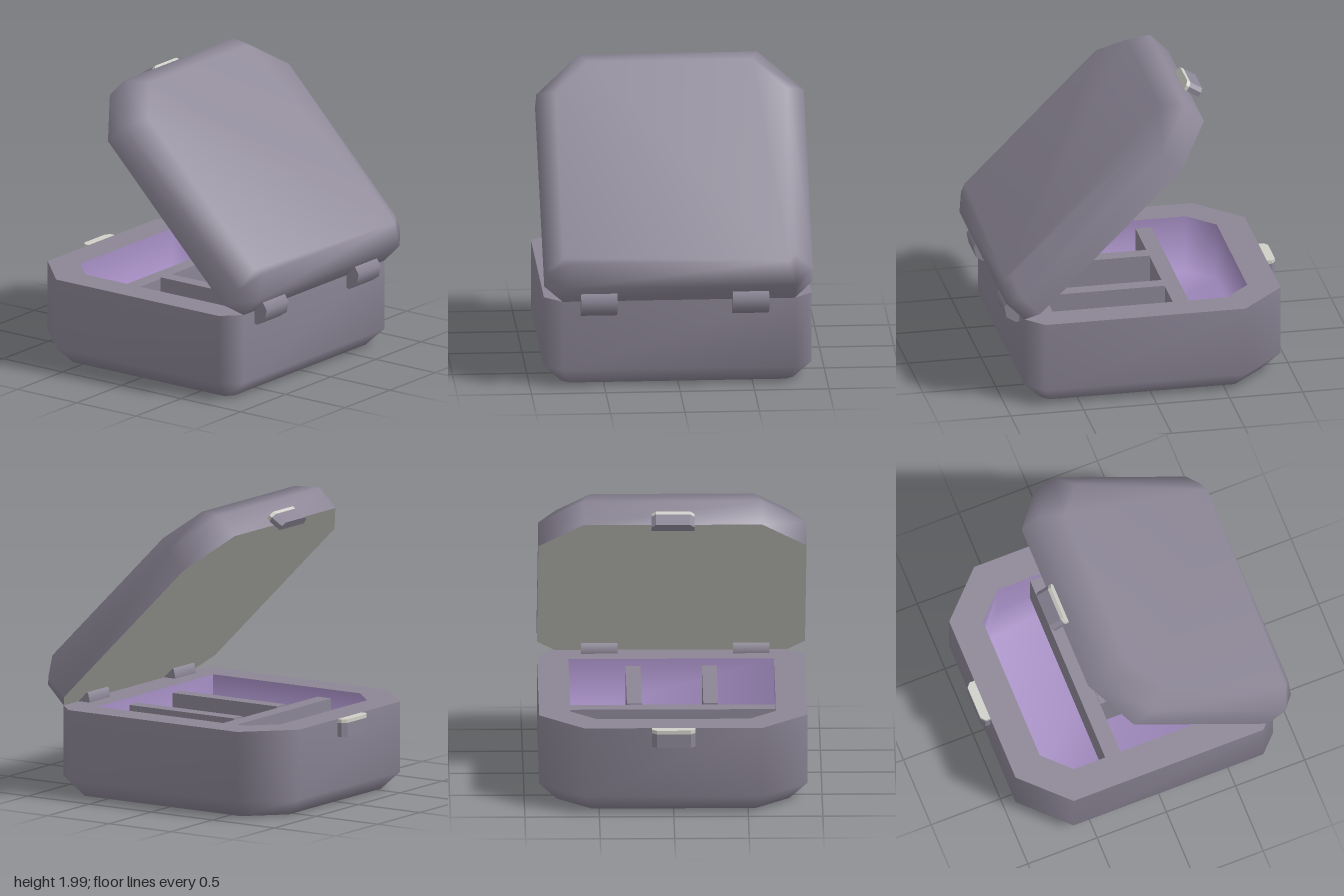
import * as THREE from 'three';

const X0 = -0.93, X1 = 0.86, Z = 0.9, HEIGHT = 0.6, WALL = 0.21, FLOOR = 0.2;

// Plan of the box, offset inward by d: big chamfers at the latch, small ones at the hinge
function outline(d) {
  const a = 0.3 - 0.586 * d, b = Math.max(0.001, 0.12 - 0.586 * d);
  const l = X0 + d, r = X1 - d, w = Z - d;
  const half = [[r, -w + b], [r - b, -w], [l + a, -w], [l, -w + a]];
  return [...half, ...half.map(([x, z]) => [x, -z]).reverse()];
}

// Smooth skin through loops given as [inset, y], with optional end caps
function loft(loops, capStart, capEnd) {
  const pos = [], idx = [];
  let n = 0;
  for (const [d, y] of loops) {
    const pts = outline(d);
    n = pts.length;
    for (const [x, z] of pts) pos.push(x, y, z);
  }
  for (let k = 0; k < loops.length - 1; k++) {
    for (let i = 0; i < n; i++) {
      const a = k * n + i, b = k * n + (i + 1) % n;
      idx.push(a, b, b + n, a, b + n, a + n);
    }
  }
  const last = (loops.length - 1) * n;
  for (let i = 1; i < n - 1; i++) {
    if (capStart) idx.push(0, i + 1, i);
    if (capEnd) idx.push(last, last + i, last + i + 1);
  }
  const g = new THREE.BufferGeometry();
  g.setAttribute('position', new THREE.Float32BufferAttribute(pos, 3));
  g.setIndex(idx);
  g.computeVertexNormals();
  return g;
}

const toPoints = (d) => outline(d).map(([x, z]) => new THREE.Vector2(x, -z));

export function createModel() {
  const shell = new THREE.MeshStandardMaterial({ name: 'mauve grey shell', color: 0x8b8595 });
  const lining = new THREE.MeshStandardMaterial({ name: 'lilac lining', color: 0xa68fc4 });
  const metal = new THREE.MeshStandardMaterial({ name: 'pale metal', color: 0xcfcfc8 });

  const model = new THREE.Group();
  model.name = 'hingedBox';
  const add = (parent, name, geometry, material) => {
    const mesh = new THREE.Mesh(geometry, material);
    mesh.name = name;
    parent.add(mesh);
    return mesh;
  };

  // Base: outer skin, flat rim and lined interior
  add(model, 'baseShell', loft([[0.12, 0], [0, 0.12], [0, HEIGHT]], true, false), shell);
  const rimShape = new THREE.Shape(toPoints(0));
  rimShape.holes.push(new THREE.Path(toPoints(WALL)));
  const rim = add(model, 'baseRim', new THREE.ShapeGeometry(rimShape).rotateX(-Math.PI / 2), shell);
  rim.position.y = HEIGHT;
  add(model, 'baseLining', loft([[WALL, HEIGHT], [WALL, FLOOR]], false, true), lining);

  // Dividers: one across the box, two running back to the hinge side
  const top = 0.54, dh = top - FLOOR;
  const cross = add(model, 'longDivider', new THREE.BoxGeometry(0.11, dh, 2 * (Z - WALL)), shell);
  cross.position.set(-0.255, FLOOR + dh / 2, 0);
  for (const s of [-1, 1]) {
    const len = X1 - WALL + 0.2;
    const d = add(model, 'shortDivider', new THREE.BoxGeometry(len, dh + 0.01, 0.1), shell);
    d.position.set(-0.2 + len / 2, FLOOR + dh / 2 + 0.005, s * 0.2565);
  }

  // Lid: same plan, swung open about the hinge line
  const lid = new THREE.Group();
  lid.name = 'lid';
  lid.position.set(X1, HEIGHT, 0);
  lid.rotation.z = -Math.PI / 4;
  model.add(lid);
  const lidShell = loft([[0, 0], [0, 0.18], [0.12, 0.3]], false, true).translate(-X1, 0, 0);
  add(lid, 'lidShell', lidShell, shell);
  const under = new THREE.ShapeGeometry(new THREE.Shape(toPoints(0))).rotateX(Math.PI / 2);
  add(lid, 'lidInnerPanel', under.translate(-X1, 0, 0), metal);

  // Hinge knuckles
  for (const z of [0.54, -0.48]) {
    const g = new THREE.CylinderGeometry(0.1, 0.1, 0.245, 8).rotateX(Math.PI / 2);
    const hinge = add(model, 'hinge', g, shell);
    hinge.position.set(0.865, 0.605, z);
    hinge.rotation.z = THREE.MathUtils.degToRad(10);
  }

  // Latch halves: tab with chamfered outer corners and a pale end
  const tab = new THREE.Shape([[0, -0.145], [0, 0.145], [-0.035, 0.145], [-0.06, 0.115],
    [-0.06, -0.115], [-0.035, -0.145]].map(([x, y]) => new THREE.Vector2(x, y)));
  const slab = (y, h) => new THREE.ExtrudeGeometry(tab, { depth: h, bevelEnabled: false })
    .rotateX(-Math.PI / 2).translate(0, y, 0);
  const latch = (name, x, y, tilt) => {
    const g = new THREE.Group();
    g.name = name;
    g.position.set(x, y, 0);
    g.rotation.z = THREE.MathUtils.degToRad(tilt);
    add(g, 'latchBody', slab(0, 0.095), shell);
    add(g, 'latchEnd', slab(0.095, 0.025), metal);
    model.add(g);
  };
  latch('baseLatch', X0, 0.48, 0);
  latch('lidLatch', -0.46, 1.84, -58);

  return model;
}
